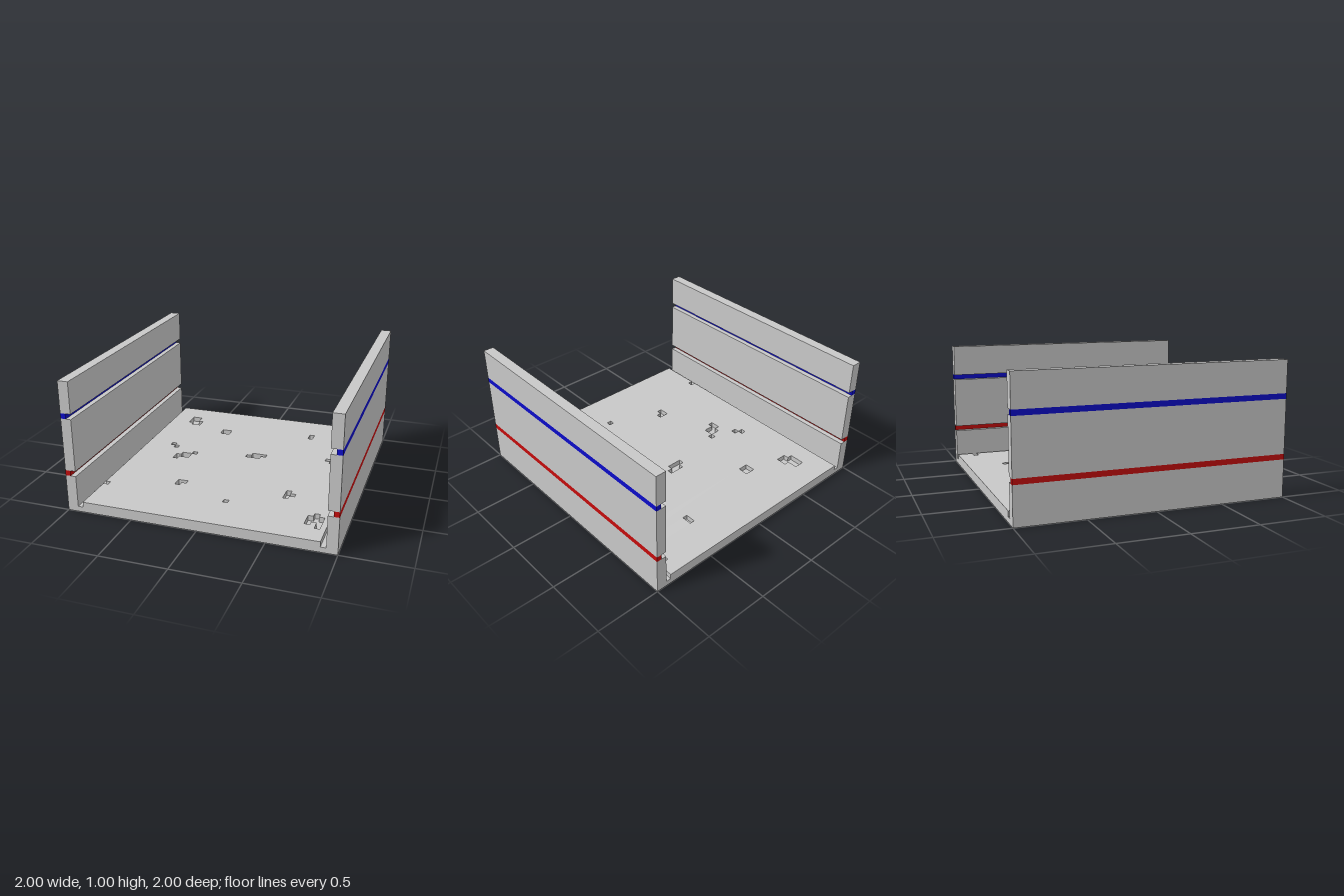
import * as THREE from 'three';

const material = (name, color) => {
  const m = new THREE.MeshStandardMaterial({ color });
  m.name = name;
  return m;
};

// Pits in the floor: x, z, width and depth in cells of 0.04
const CELL = 0.04;
const PITS = [
  [-18, -20, 2, 3], [-17, -18, 2, 2],
  [10, -18, 1, 2],
  [-9, -15, 2, 2],
  [16, -7, 2, 1], [17, -6, 1, 1],
  [1, -5, 3, 1], [0, -4, 3, 1],
  [-17, -5, 1, 1], [-16, -4, 1, 1],
  [-11, -2, 1, 1], [-13, -1, 2, 2], [-14, 0, 1, 2],
  [12, 9, 1, 3], [13, 10, 1, 1],
  [-9, 11, 2, 1], [-9, 12, 1, 1],
  [2, 16, 1, 1],
  [18, 17, 3, 2], [19, 16, 1, 1], [18, 19, 1, 1], [20, 19, 1, 2],
  // Nicks beside the gutters
  [-22, 16, 1, 1], [20, -22, 2, 1],
];

const isPit = (x, z) =>
  PITS.some(([px, pz, w, d]) => x >= px && x < px + w && z >= pz && z < pz + d);

// Solid stretches of one row of floor cells, as [start, end] pairs
function solidRuns(z) {
  const runs = [];
  for (let x = -22; x < 22; x++) {
    if (isPit(x, z)) continue;
    const last = runs[runs.length - 1];
    if (last && last[1] === x) last[1] = x + 1;
    else runs.push([x, x + 1]);
  }
  return runs;
}

export function createModel() {
  const grey = material('light grey', 0xc8c8c8);
  const red = material('red', 0xc40c0c);
  const blue = material('blue', 0x0c0cc8);
  const model = new THREE.Group();
  model.name = 'openChannel';

  // Box given by its limits, running the full depth unless told otherwise
  function bar(name, mat, parent, x0, x1, y0, y1, z0 = -1, z1 = 1) {
    const mesh = new THREE.Mesh(new THREE.BoxGeometry(x1 - x0, y1 - y0, z1 - z0), mat);
    mesh.position.set((x0 + x1) / 2, (y0 + y1) / 2, (z0 + z1) / 2);
    mesh.name = name;
    parent.add(mesh);
  }

  // Base slab, which is also the bottom of the pits and gutters
  bar('baseSlab', grey, model, -0.92, 0.92, 0, 0.04);

  // Pitted floor layer: equal neighbouring rows are joined into one band
  const floor = new THREE.Group();
  floor.name = 'pittedFloor';
  model.add(floor);
  for (let z = -25; z < 25; ) {
    const runs = solidRuns(z);
    let end = z + 1;
    while (end < 25 && String(solidRuns(end)) === String(runs)) end++;
    for (const [x0, x1] of runs) {
      bar('floorBand', grey, floor, x0 * CELL, x1 * CELL, 0.04, 0.08, z * CELL, end * CELL);
    }
    z = end;
  }

  // Side walls: three panels, with thinner coloured strips set flush outside
  for (const side of [-1, 1]) {
    const wall = new THREE.Group();
    wall.name = side > 0 ? 'leftWall' : 'rightWall';
    model.add(wall);
    const add = (name, mat, inner, y0, y1) =>
      bar(name, mat, wall, side > 0 ? inner : -1, side > 0 ? 1 : -inner, y0, y1);
    add('lowerPanel', grey, 0.92, 0, 0.28);
    add('redStrip', red, 0.96, 0.28, 0.32);
    add('middlePanel', grey, 0.92, 0.32, 0.72);
    add('blueStrip', blue, 0.96, 0.72, 0.76);
    add('upperPanel', grey, 0.92, 0.76, 1);
  }
  return model;
}
